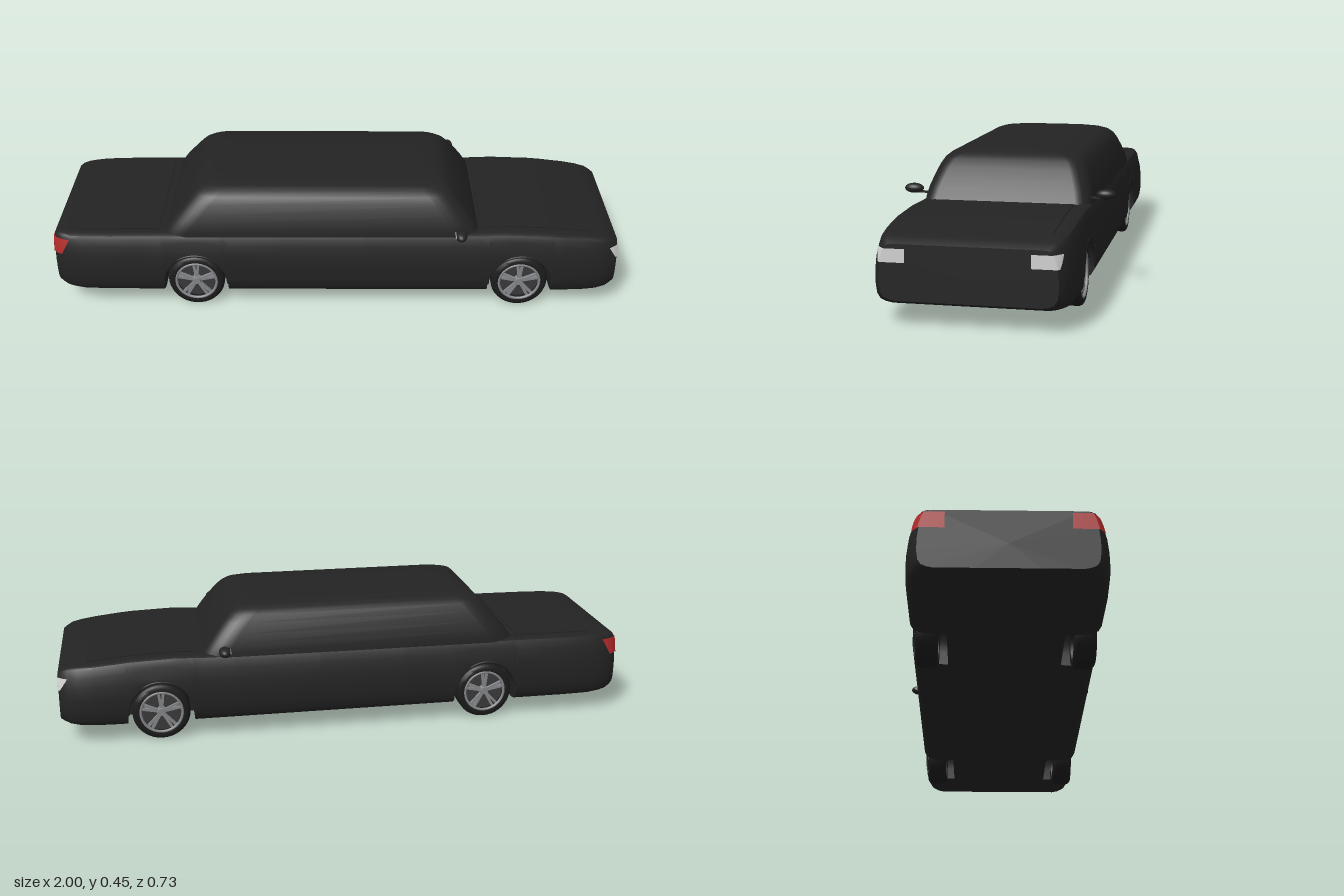
import * as THREE from 'three';
import { toCreasedNormals, mergeGeometries } from 'three/addons/utils/BufferGeometryUtils.js';

const mat = (name, color, side = THREE.FrontSide) => {
  const m = new THREE.MeshStandardMaterial({ color, side });
  m.name = name;
  return m;
};

// linear interpolation in a table of [key, value]
function table(rows, k) {
  if (k <= rows[0][0]) return rows[0][1];
  for (let i = 1; i < rows.length; i++) {
    const [k0, v0] = rows[i - 1], [k1, v1] = rows[i];
    if (k <= k1) return v0 + (v1 - v0) * (k - k0) / (k1 - k0);
  }
  return rows[rows.length - 1][1];
}

// body rules: deck height, sill height, plan taper, side profile
const top = x => table([[-1, 0.274], [-0.98, 0.284], [-0.9, 0.288], [-0.6, 0.291], [0.5, 0.294], [0.6, 0.298],
  [0.75, 0.293], [0.9, 0.279], [0.97, 0.268], [1, 0.25]], x);
const bottom = x => table([[-1, 0.08], [-0.96, 0.062], [-0.9, 0.056], [0.9, 0.056], [0.96, 0.062], [1, 0.08]], x);
const plan = x => table([[-1, 0.86], [-0.985, 0.905], [-0.965, 0.94], [-0.94, 0.965], [-0.9, 0.985], [-0.8, 1],
  [0.8, 1], [0.88, 0.985], [0.93, 0.968], [0.965, 0.935], [0.985, 0.9], [1, 0.86]], x);
const sideProfile = [[0, 0.82], [0.02, 0.89], [0.06, 0.95], [0.14, 0.985], [0.3, 1], [0.5, 1], [0.7, 0.985],
  [0.85, 0.958], [0.95, 0.935], [1, 0.915]];
const skin = (x, y) => {
  const b = bottom(x);
  return 0.312 * plan(x) * table(sideProfile, (y - b) / (top(x) - 0.006 - b));
};

const AXLES = [-0.5, 0.655], WHEEL_R = 0.1, ARCH_R = 0.115;

// skin over closed rings of points, capped at both ends
function loft(rings, crease) {
  const n = rings[0].length, pos = rings.flat(2), index = [];
  for (let j = 0; j < rings.length - 1; j++) {
    for (let i = 0; i < n; i++) {
      const a = j * n + i, b = j * n + (i + 1) % n;
      index.push(a, a + n, b, b, a + n, b + n);
    }
  }
  [0, rings.length - 1].forEach((j, end) => {
    const c = pos.length / 3;
    for (let k = 0; k < 3; k++) pos.push(rings[j].reduce((s, p) => s + p[k], 0) / n);
    for (let i = 0; i < n; i++) {
      const a = j * n + i, b = j * n + (i + 1) % n;
      index.push(c, end ? b : a, end ? a : b);
    }
  });
  const g = new THREE.BufferGeometry();
  g.setAttribute('position', new THREE.Float32BufferAttribute(pos, 3));
  g.setIndex(index);
  return toCreasedNormals(g, crease);
}

// lower body with wheel wells, lofted from rear to front
function bodyGeometry() {
  const columns = [];
  const plain = (...xs) => xs.forEach(x => columns.push([x, bottom(x)]));
  const arch = c => {
    plain(c - ARCH_R);
    for (let i = 0; i <= 20; i++) {
      const t = Math.PI * (1 - i / 20);
      columns.push([c + ARCH_R * Math.cos(t), WHEEL_R + ARCH_R * Math.sin(t)]);
    }
    plain(c + ARCH_R);
  };
  plain(-0.997, -0.985, -0.965, -0.94, -0.9, -0.8, -0.7);
  arch(AXLES[0]);
  plain(-0.2, 0.1, 0.4, 0.5);
  arch(AXLES[1]);
  plain(0.8, 0.88, 0.93, 0.965, 0.985, 0.997);
  const rings = columns.map(([x, low]) => {
    const b = bottom(x), h = top(x), s = plan(x);
    const half = [[0.1, b], [0.19, b], [0.19, low]];
    for (const [t] of sideProfile) {
      const y = low + (h - 0.006 - low) * t;
      half.push([skin(x, y), y]);
    }
    half.push([0.275 * s, h - 0.001], [0.258 * s, h]);
    return [...half.map(([z, y]) => [x, y, z]), ...half.reverse().map(([z, y]) => [x, y, -z])];
  });
  return loft(rings, 0.6);
}

// cabin: rounded rectangles stacked upward
function cabinGeometry() {
  const levels = [[0.27, -0.615, 0.515, 0.288], [0.3, -0.597, 0.498, 0.286], [0.33, -0.575, 0.478, 0.28],
    [0.36, -0.55, 0.456, 0.27], [0.395, -0.52, 0.428, 0.257], [0.42, -0.498, 0.405, 0.243],
    [0.434, -0.482, 0.388, 0.226], [0.443, -0.464, 0.37, 0.2], [0.449, -0.44, 0.345, 0.15], [0.453, -0.4, 0.3, 0.06]];
  const rings = levels.map(([y, x0, x1, w]) => {
    const ring = [], rz = Math.min(0.05, w * 0.8), rx = 0.08;
    for (let q = 0; q < 4; q++) {
      const sx = q === 0 || q === 3 ? 1 : -1, sz = q < 2 ? 1 : -1;
      for (let i = 0; i <= 6; i++) {
        const t = (q + i / 6) * Math.PI / 2;
        ring.push([(sx > 0 ? x1 - rx : x0 + rx) + rx * Math.cos(t), y, sz * (w - rz) + rz * Math.sin(t)]);
      }
    }
    return ring;
  });
  return loft(rings, 0.7);
}

// thin plate that follows the deck between two x positions
function deckPanel(x0, x1, halfWidth) {
  const g = new THREE.BoxGeometry(x1 - x0, 0.007, halfWidth * 2, 12, 1, 1).translate((x0 + x1) / 2, 0, 0);
  const p = g.attributes.position;
  for (let i = 0; i < p.count; i++) p.setY(i, p.getY(i) + top(p.getX(i)));
  g.computeVertexNormals();
  return g;
}

// lamp wrapping a corner: flat end face plus a tapered side face on the skin
function lampGeometry(end, side, y0, y1, reach0, reach1) {
  const patch = f => {
    const g = new THREE.PlaneGeometry(1, 1, 8, 3), p = g.attributes.position;
    for (let i = 0; i < p.count; i++) p.setXYZ(i, ...f(p.getX(i) + 0.5, p.getY(i) + 0.5));
    g.computeVertexNormals();
    return g;
  };
  const yAt = v => y0 + (y1 - y0) * v;
  const edge = y => skin(end * 0.997, y) + 0.003;
  const endFace = patch((u, v) => [end, yAt(v), side * (0.19 + (edge(yAt(v)) - 0.19) * u)]);
  const sideFace = patch((u, v) => {
    const x = end * (1 - u * (reach0 + (reach1 - reach0) * v));
    return [x, yAt(v), side * (skin(x, yAt(v)) + 0.003)];
  });
  return mergeGeometries([endFace, sideFace]);
}

export function createModel() {
  const paint = mat('blackPaint', 0x232323);
  const rubber = mat('tyreRubber', 0x1c1c1c, THREE.DoubleSide);
  const alloy = mat('alloy', 0x85878a, THREE.DoubleSide);
  const recess = mat('wheelRecess', 0x3a3a3c);
  const clear = mat('headlightGlass', 0xd2d2d2, THREE.DoubleSide);
  const red = mat('tailLightRed', 0xb02a2a, THREE.DoubleSide);

  const car = new THREE.Group();
  car.name = 'car';
  const add = (parent, name, geometry, material, x = 0, y = 0, z = 0) => {
    const m = new THREE.Mesh(geometry, material);
    m.name = name;
    m.position.set(x, y, z);
    parent.add(m);
    return m;
  };

  add(car, 'body', bodyGeometry(), paint);
  add(car, 'cabin', cabinGeometry(), paint);
  add(car, 'hood', deckPanel(0.515, 0.9, 0.238), paint);
  add(car, 'trunkLid', deckPanel(-0.9, -0.625, 0.245), paint);

  // wheel parts, outer face toward +z
  const tyreProfile = [[0.074, -0.036], [0.088, -0.038], [0.096, -0.033], [0.1, -0.024], [0.1, 0.024],
    [0.096, 0.033], [0.088, 0.038], [0.074, 0.036], [0.072, 0], [0.074, -0.036]];
  const tyre = toCreasedNormals(new THREE.LatheGeometry(tyreProfile.map(p => new THREE.Vector2(...p)), 40), 0.8)
    .rotateX(Math.PI / 2);
  const rimRing = new THREE.TorusGeometry(0.072, 0.005, 8, 40);
  const disc = new THREE.CylinderGeometry(0.073, 0.073, 0.04, 32).rotateX(Math.PI / 2);
  const hub = new THREE.CylinderGeometry(0.013, 0.018, 0.018, 20).rotateX(Math.PI / 2);
  const spoke = new THREE.BoxGeometry(0.009, 0.06, 0.01).translate(0, 0.042, 0);
  const lip = new THREE.TorusGeometry(ARCH_R, 0.005, 8, 28, Math.PI);

  for (const s of [1, -1]) {
    for (const x of AXLES) {
      const wheel = new THREE.Group();
      wheel.name = 'wheel';
      wheel.position.set(x, WHEEL_R, s * 0.257);
      wheel.rotation.y = s > 0 ? 0 : Math.PI;
      add(wheel, 'tyre', tyre, rubber);
      add(wheel, 'rimRing', rimRing, alloy, 0, 0, 0.034);
      add(wheel, 'wheelDisc', disc, recess, 0, 0, -0.006);
      add(wheel, 'hub', hub, alloy, 0, 0, 0.027);
      for (let i = 0; i < 5; i++) {
        for (const lean of [-0.12, 0.12]) {
          add(wheel, 'spoke', spoke, alloy, 0, 0, 0.026).rotation.z = i * Math.PI * 0.4 + lean;
        }
      }
      car.add(wheel);
      add(car, 'archLip', lip, paint, x, WHEEL_R, s * 0.305);
    }

    // corner lamps
    add(car, 'headlight', lampGeometry(1, s, 0.196, 0.238, 0.008, 0.035), clear);
    add(car, 'tailLight', lampGeometry(-1, s, 0.213, 0.268, 0.03, 0.06), red);

    // door mirror on a short stem, glass toward the rear
    add(car, 'mirrorHousing', new THREE.SphereGeometry(1, 24, 16).scale(0.021, 0.017, 0.033), paint, 0.433, 0.32, s * 0.33);
    add(car, 'mirrorStem', new THREE.BoxGeometry(0.014, 0.006, 0.05), paint, 0.433, 0.308, s * 0.3);
    add(car, 'mirrorGlass', new THREE.CylinderGeometry(1, 1, 1, 24).rotateZ(Math.PI / 2).scale(0.004, 0.009, 0.02),
      alloy, 0.415, 0.32, s * 0.33);
  }
  return car;
}
